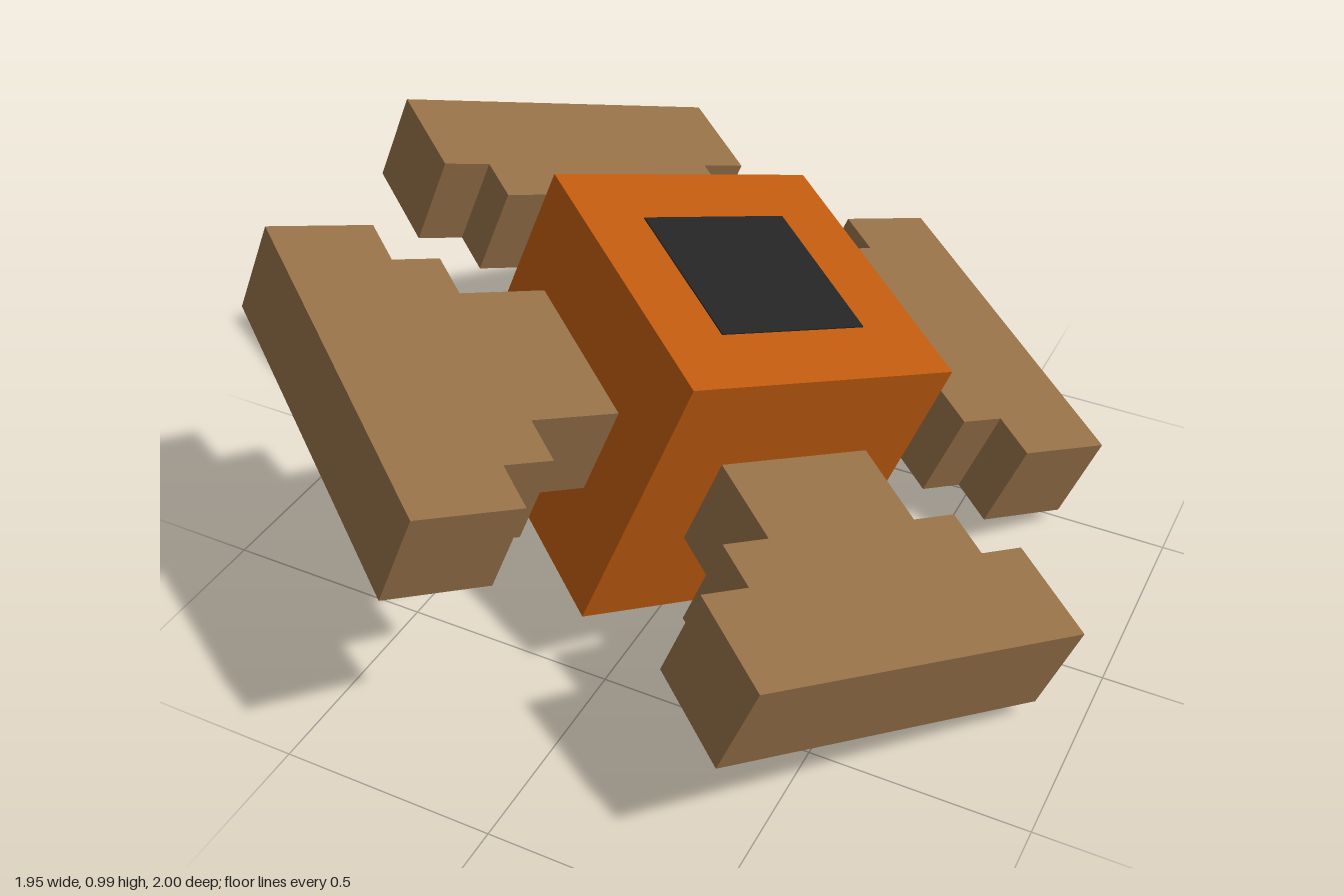
import * as THREE from 'three';

const flat = (name, color) => {
  const m = new THREE.MeshStandardMaterial({ color, flatShading: true });
  m.name = name;
  return m;
};

export function createModel() {
  const orange = flat('orange', 0xbf5a10);
  const brown = flat('brown', 0x946f47);
  const black = flat('black', 0x242424);

  const model = new THREE.Group();
  model.name = 'spinner';

  const add = (name, geometry, material) => {
    const mesh = new THREE.Mesh(geometry, material);
    mesh.name = name;
    model.add(mesh);
    return mesh;
  };

  // Hub cube with a dark square on its top and bottom
  const side = 0.684;
  add('hub', new THREE.BoxGeometry(side, side, side), orange);
  for (const s of [1, -1]) {
    const plate = add(s > 0 ? 'topPlate' : 'bottomPlate', new THREE.BoxGeometry(0.376, 0.004, 0.376), black);
    plate.position.y = s * (side / 2 + 0.001);
  }

  // Stepped blade: [half width, outward distance], narrow at the hub and wide at the rim
  const steps = [[0.195, 0.34], [0.195, 0.552], [0.31, 0.552], [0.31, 0.667], [0.426, 0.667], [0.426, 0.915]];
  const outline = [
    ...steps.map(([w, d]) => new THREE.Vector2(w, d)),
    ...steps.slice().reverse().map(([w, d]) => new THREE.Vector2(-w, d)),
  ];
  const thickness = 0.226;
  const bladeGeometry = new THREE.ExtrudeGeometry(new THREE.Shape(outline), { depth: thickness, bevelEnabled: false });
  bladeGeometry.rotateX(Math.PI / 2).translate(0, thickness / 2, 0);

  // Four blades, each set slightly to one side of the hub centre
  const shift = -0.024;
  ['frontBlade', 'leftBlade', 'backBlade', 'rightBlade'].forEach((name, i) => {
    const blade = add(name, bladeGeometry, brown);
    blade.rotation.y = i * Math.PI / 2;
    if (i % 2) blade.position.z = shift;
    else blade.position.x = shift;
  });

  // Tilt of the whole spinner
  const up = new THREE.Vector3(0.347, 0.931, -0.108).normalize();
  const z = new THREE.Vector3().crossVectors(new THREE.Vector3(0.784, -0.222, 0.577), up).normalize();
  const x = new THREE.Vector3().crossVectors(up, z);
  model.quaternion.setFromRotationMatrix(new THREE.Matrix4().makeBasis(x, up, z));
  model.position.set(-0.01, 0.495, 0.013);

  const root = new THREE.Group();
  root.name = 'model';
  root.add(model);
  return root;
}
